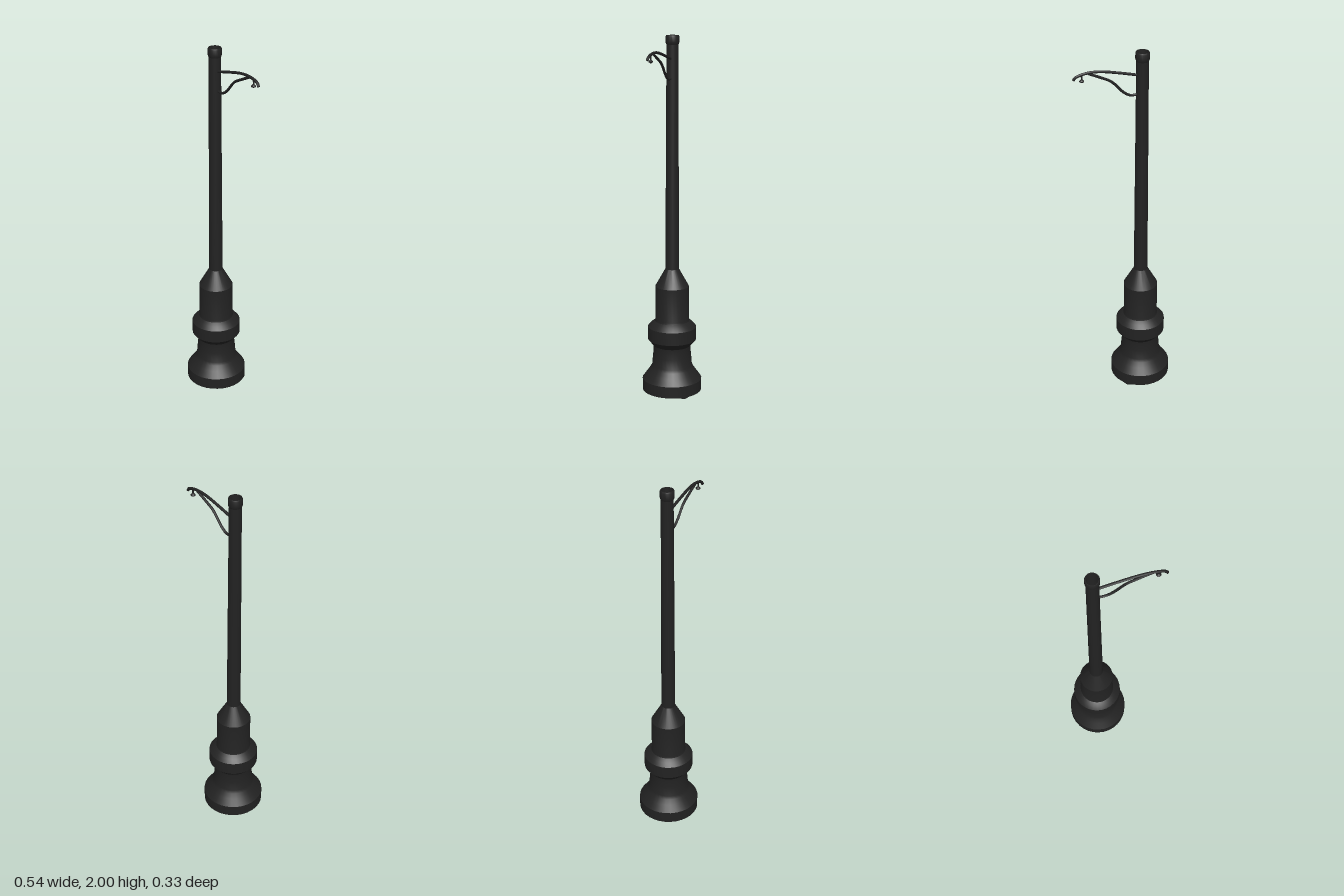
import * as THREE from 'three';
import { toCreasedNormals } from 'three/addons/utils/BufferGeometryUtils.js';

const POLE_X = -0.1;
const iron = new THREE.MeshStandardMaterial({ color: 0x222222, side: THREE.DoubleSide });

function add(group, name, geometry, x = 0) {
  const mesh = new THREE.Mesh(geometry, iron);
  mesh.name = name;
  mesh.position.x = x;
  group.add(mesh);
  return mesh;
}

const lathe = (profile, sides) =>
  new THREE.LatheGeometry(profile.map(([r, y]) => new THREE.Vector2(r, y)), sides);

// Round bar through the given points, closed at its ends
function bar(group, name, points, radius) {
  const path = new THREE.CatmullRomCurve3(points.map(p => new THREE.Vector3(...p)));
  add(group, name, new THREE.TubeGeometry(path, 24, radius, 8));
  for (const t of [0, 1]) {
    const end = add(group, name + 'End', new THREE.CircleGeometry(radius, 8));
    end.position.copy(path.getPoint(t));
    const out = path.getTangent(t).multiplyScalar(t ? 1 : -1);
    end.quaternion.setFromUnitVectors(new THREE.Vector3(0, 0, 1), out);
  }
}

export function createModel() {
  const model = new THREE.Group();
  model.name = 'polewithArm';

  // Hollow stepped base, open underneath, with one rim corner bent down
  const baseProfile = [
    [0.167, 0.01], [0.167, 0.075], [0.14, 0.112], [0.122, 0.138], [0.113, 0.155],
    [0.108, 0.212], [0.104, 0.25], [0.106, 0.272], [0.136, 0.307], [0.136, 0.38],
    [0.118, 0.4], [0.097, 0.415], [0.094, 0.425], [0.094, 0.615], [0.038, 0.715],
  ];
  const base = lathe(baseProfile, 32);
  base.attributes.position.setY(12 * baseProfile.length, 0);
  add(model, 'base', toCreasedNormals(base, 0.5), POLE_X);

  // Slightly tapering hollow shaft
  add(model, 'shaft', lathe([[0.038, 0.715], [0.032, 1.965]], 32), POLE_X);

  // Collar around the open top
  const collar = lathe([
    [0.032, 1.95], [0.037, 1.962], [0.037, 1.993], [0.034, 2], [0.031, 2], [0.031, 1.95],
  ], 32);
  add(model, 'topCollar', toCreasedNormals(collar, 0.5), POLE_X);

  // Bracket: upper arm with drooping tip, and the curved brace below it
  bar(model, 'upperArm', [
    [-0.08, 1.876, 0], [0.03, 1.903, 0], [0.127, 1.922, 0], [0.19, 1.923, 0],
    [0.235, 1.914, 0], [0.254, 1.905, 0.001], [0.263, 1.892, 0.003],
  ], 0.0075);
  bar(model, 'brace', [
    [-0.08, 1.772, 0], [-0.035, 1.772, 0], [0, 1.793, 0], [0.065, 1.86, 0],
    [0.12, 1.889, 0], [0.185, 1.919, 0],
  ], 0.007);

  // Small bell-ended hanger under the arm
  const hanger = lathe([
    [0, 1.92], [0.005, 1.92], [0.004, 1.893], [0.008, 1.89], [0.013, 1.884],
    [0.012, 1.88], [0.005, 1.877], [0, 1.873],
  ].reverse(), 12);
  add(model, 'hanger', toCreasedNormals(hanger, 0.7), 0.22);

  return model;
}
